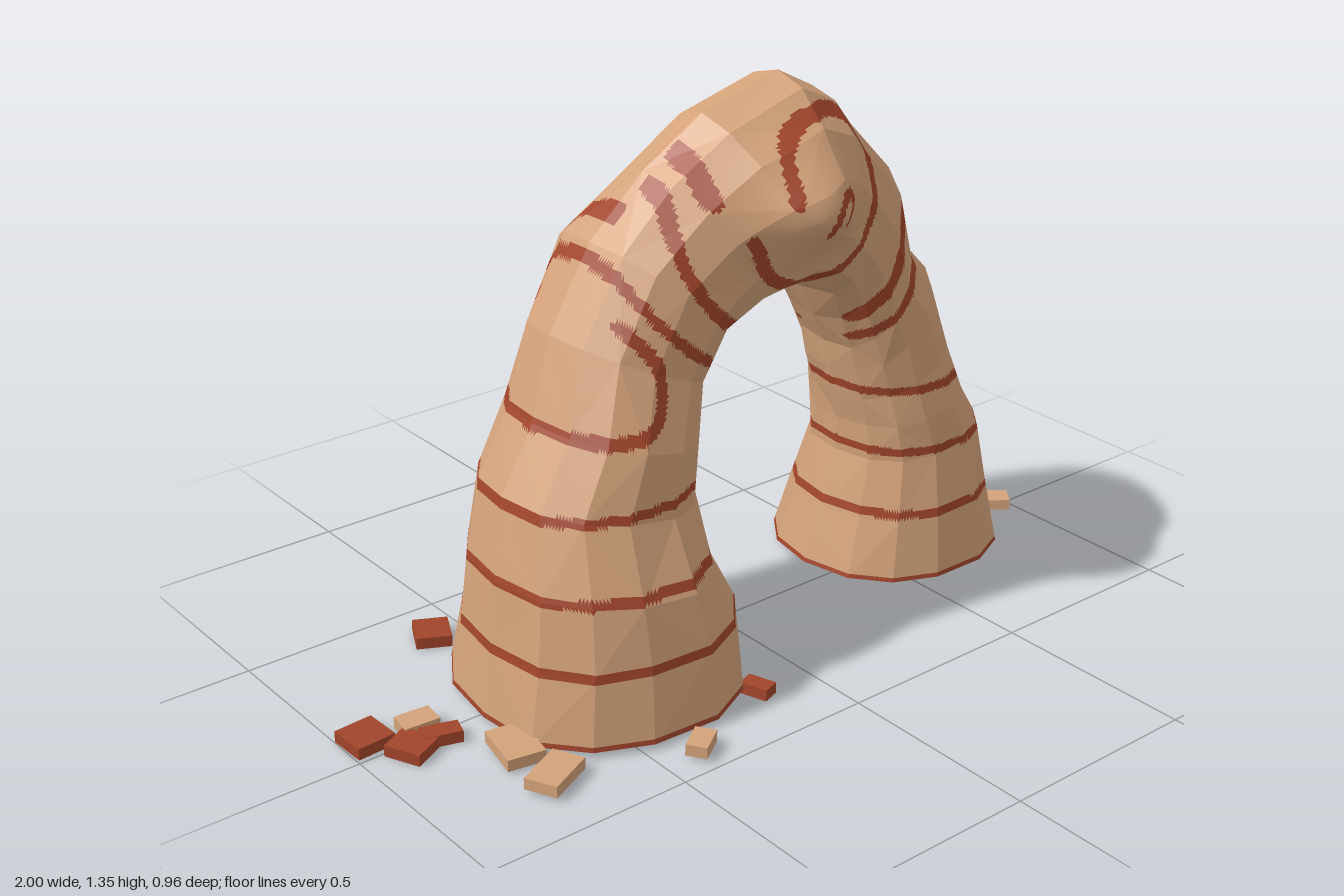
import * as THREE from 'three';

const sandstone = new THREE.MeshStandardMaterial({ color: 0xd3a27a, flatShading: true });
sandstone.name = 'sandstone';
const redOchre = new THREE.MeshStandardMaterial({ color: 0xa1452b, flatShading: true });
redOchre.name = 'red ochre';

const SIDES = 14, FINE = 14;

// Cross-sections along the arch: outer x, y, inner x, y, back z, front z
const stations = [
  [-0.71, 0.02, -0.07, 0.02, -0.31, 0.375],
  [-0.68, 0.19, -0.09, 0.19, -0.28, 0.355],
  [-0.655, 0.35, -0.14, 0.31, -0.26, 0.33],
  [-0.62, 0.53, -0.16, 0.45, -0.24, 0.26],
  [-0.53, 0.68, -0.16, 0.59, -0.23, 0.25],
  [-0.46, 0.86, -0.11, 0.70, -0.23, 0.2],
  [-0.35, 1.05, -0.05, 0.79, -0.23, 0.2],
  [-0.21, 1.18, 0.02, 0.84, -0.21, 0.21],
  [-0.07, 1.29, 0.08, 0.86, -0.17, 0.23],
  [0.14, 1.355, 0.13, 0.865, -0.155, 0.23],
  [0.26, 1.30, 0.2, 0.84, -0.18, 0.21],
  [0.35, 1.22, 0.28, 0.79, -0.22, 0.17],
  [0.48, 1.08, 0.33, 0.70, -0.235, 0.15],
  [0.54, 0.88, 0.37, 0.62, -0.235, 0.14],
  [0.63, 0.79, 0.385, 0.55, -0.235, 0.14],
  [0.69, 0.61, 0.4, 0.48, -0.235, 0.15],
  [0.74, 0.47, 0.41, 0.41, -0.235, 0.16],
  [0.81, 0.36, 0.415, 0.32, -0.26, 0.17],
  [0.85, 0.19, 0.38, 0.17, -0.3, 0.19],
  [0.89, 0.02, 0.34, 0.02, -0.34, 0.21],
];

// Painted strokes as curves in x, y
const stroke = (points, half = 0.015) => {
  const curve = new THREE.CatmullRomCurve3(points.map(([x, y]) => new THREE.Vector3(x, y, 0)));
  return { points: curve.getPoints(points.length * 4), half };
};
const frontStrokes = [
  // large spiral and its centre curl
  stroke([[0.0, 1.13], [0.03, 1.23], [0.14, 1.285], [0.26, 1.25], [0.33, 1.13], [0.31, 1.0], [0.22, 0.92],
    [0.1, 0.9], [-0.02, 0.95], [-0.08, 1.05]]),
  stroke([[0.08, 1.05], [0.1, 1.1], [0.14, 1.13], [0.17, 1.1], [0.14, 1.06]], 0.012),
  // outer arc and short dash
  stroke([[-0.15, 1.24], [-0.15, 1.14]], 0.022),
  stroke([[-0.22, 1.17], [-0.24, 1.04], [-0.2, 0.94], [-0.12, 0.86], [0.0, 0.8]]),
];
const backStrokes = [
  // ring with a centre dot
  stroke(Array.from({ length: 17 }, (_, i) => {
    const angle = (i / 16) * Math.PI * 2;
    return [0.125 + 0.18 * Math.cos(angle), 1.095 + 0.17 * Math.sin(angle)];
  })),
  stroke([[0.08, 1.08], [0.12, 1.06], [0.17, 1.08]], 0.017),
  // bar across the shoulder
  stroke([[-0.29, 1.13], [-0.28, 1.03], [-0.23, 0.92], [-0.14, 0.83], [-0.04, 0.78]], 0.019),
];
const wrapStrokes = [
  // thick leg
  stroke([[-0.37, 1.04], [-0.34, 0.95], [-0.26, 0.85], [-0.14, 0.76]], 0.012),
  stroke([[-0.54, 0.68], [-0.42, 0.675], [-0.35, 0.7], [-0.32, 0.8], [-0.38, 0.9]]),
  // slim leg
  stroke([[0.49, 1.07], [0.46, 0.95], [0.43, 0.85], [0.35, 0.73]], 0.017),
  stroke([[0.57, 0.865], [0.52, 0.83], [0.45, 0.74], [0.37, 0.67]], 0.013),
];

function onStroke({ points, half }, x, y) {
  for (let i = 1; i < points.length; i++) {
    const a = points[i - 1], b = points[i];
    const dx = b.x - a.x, dy = b.y - a.y;
    const t = THREE.MathUtils.clamp(((x - a.x) * dx + (y - a.y) * dy) / (dx * dx + dy * dy), 0, 1);
    if (Math.hypot(x - a.x - t * dx, y - a.y - t * dy) < half) return true;
  }
  return false;
}

function isPainted({ x, y, z }) {
  if (y < 0.033) return true;
  if ([0.19, 0.35, 0.515].some((band) => Math.abs(y - band) < 0.011)) return true;
  // oval eye on the outside of the slim leg
  if (x > 0.5) {
    const u = z + 0.05, v = y - 0.725;
    if (Math.hypot(u / 0.125, v / 0.078) < 1 && Math.hypot(u / 0.07, v / 0.037) > 1) return true;
  }
  const sided = z > 0.02 ? frontStrokes : backStrokes;
  return [...sided, ...wrapStrokes].some((s) => onStroke(s, x, y));
}

// Seeded roughness
let seed = 7;
const random = () => (seed = (seed * 16807) % 2147483647) / 2147483647;
const signedPower = (v, e) => Math.sign(v) * Math.abs(v) ** e;

function makeRing([ox, oy, ix, iy, z0, z1]) {
  const crown = oy > 1.15;
  return Array.from({ length: SIDES }, (_, j) => {
    const angle = (j / SIDES) * Math.PI * 2;
    const rough = 1 + 0.05 * (random() - 0.5);
    // The crown is peaked above and square below
    const power = crown ? (Math.cos(angle) > 0 ? 1.05 : 0.72) : 0.88;
    const c = signedPower(Math.cos(angle), power) * rough;
    const s = signedPower(Math.sin(angle), power) * rough;
    return new THREE.Vector3(
      (ox + ix) / 2 + (c * (ox - ix)) / 2,
      (oy + iy) / 2 + (c * (oy - iy)) / 2,
      (z0 + z1) / 2 + (s * (z1 - z0)) / 2,
    );
  });
}

// Snout-like knob on the front of the crown, steeper underneath
function addKnob(p) {
  const height = p.y > 1.09 ? 0.12 : 0.085;
  const bump = Math.exp(-(((p.x - 0.08) / 0.12) ** 2) - ((p.y - 1.09) / height) ** 2);
  p.z += 0.08 * bump * THREE.MathUtils.smoothstep(p.z, 0.05, 0.17);
  return p;
}

function buildArch() {
  const rock = [], paint = [];
  const emit = (a, b, c, painted) => {
    const mid = new THREE.Vector3().add(a).add(b).add(c).divideScalar(3);
    const target = (painted ?? isPainted(mid)) ? paint : rock;
    for (const p of [a, b, c]) target.push(p.x, p.y, p.z);
  };
  // Divide each facet finely so the paint has ragged edges
  const facet = (a, b, c) => {
    const at = (i, j) => addKnob(a.clone()
      .addScaledVector(b.clone().sub(a), i / FINE)
      .addScaledVector(c.clone().sub(a), j / FINE));
    for (let i = 0; i < FINE; i++) {
      for (let j = 0; j < FINE - i; j++) {
        emit(at(i, j), at(i + 1, j), at(i, j + 1));
        if (i + j < FINE - 1) emit(at(i + 1, j), at(i + 1, j + 1), at(i, j + 1));
      }
    }
  };

  const rings = stations.map(makeRing);
  for (let i = 0; i < rings.length - 1; i++) {
    for (let j = 0; j < SIDES; j++) {
      const k = (j + 1) % SIDES;
      const [a, b, c, d] = [rings[i][j], rings[i][k], rings[i + 1][k], rings[i + 1][j]];
      if ((i + j) % 2) { facet(a, b, c); facet(a, c, d); }
      else { facet(a, b, d); facet(b, c, d); }
    }
  }

  // Undersides: bare middle with a painted rim
  const cap = (ring) => {
    const centre = new THREE.Vector3();
    ring.forEach((p) => centre.addScaledVector(p, 1 / SIDES));
    const inner = ring.map((p) => p.clone().lerp(centre, 0.2));
    for (let j = 0; j < SIDES; j++) {
      const k = (j + 1) % SIDES;
      emit(centre, inner[j], inner[k], false);
      emit(inner[j], ring[j], ring[k], true);
      emit(inner[j], ring[k], inner[k], true);
    }
  };
  cap([...rings[0]].reverse());
  cap(rings[rings.length - 1]);

  const group = new THREE.Group();
  group.name = 'arch';
  for (const [name, data, material] of [['archRock', rock, sandstone], ['archPaint', paint, redOchre]]) {
    const geometry = new THREE.BufferGeometry();
    geometry.setAttribute('position', new THREE.Float32BufferAttribute(data, 3));
    geometry.computeVertexNormals();
    const mesh = new THREE.Mesh(geometry, material);
    mesh.name = name;
    group.add(mesh);
  }
  return group;
}

// Loose slabs: x, z, width, depth, turn, material
const slabs = [
  [-0.59, -0.355, 0.085, 0.095, -0.45, redOchre],
  [-0.335, -0.41, 0.075, 0.125, -0.48, redOchre],
  [-0.95, -0.06, 0.095, 0.095, 0.05, redOchre],
  [-0.89, 0.035, 0.08, 0.09, 0.45, redOchre],
  [-0.815, 0.035, 0.09, 0.05, -0.3, redOchre],
  [-0.15, 0.325, 0.045, 0.07, 0.35, redOchre],
  [-0.835, -0.03, 0.085, 0.06, -0.1, sandstone],
  [-0.72, 0.185, 0.09, 0.13, -0.2, sandstone],
  [-0.715, 0.325, 0.125, 0.08, 0.45, sandstone],
  [-0.4, 0.43, 0.075, 0.05, 0.6, sandstone],
  [0.77, -0.43, 0.075, 0.05, 0.5, sandstone],
  [0.955, 0.01, 0.06, 0.06, -0.65, sandstone],
];

function buildRubble() {
  const group = new THREE.Group();
  group.name = 'rubble';
  slabs.forEach(([x, z, width, depth, turn, material], i) => {
    const mesh = new THREE.Mesh(new THREE.BoxGeometry(width, 0.028, depth), material);
    mesh.name = `slab${i + 1}`;
    mesh.position.set(x, material === redOchre ? 0.021 : 0.028, z);
    mesh.rotation.set(0.06 * (random() - 0.5), turn, 0.06 * (random() - 0.5));
    group.add(mesh);
  });
  return group;
}

export function createModel() {
  const model = new THREE.Group();
  model.name = 'rockArch';
  model.add(buildArch(), buildRubble());
  return model;
}
